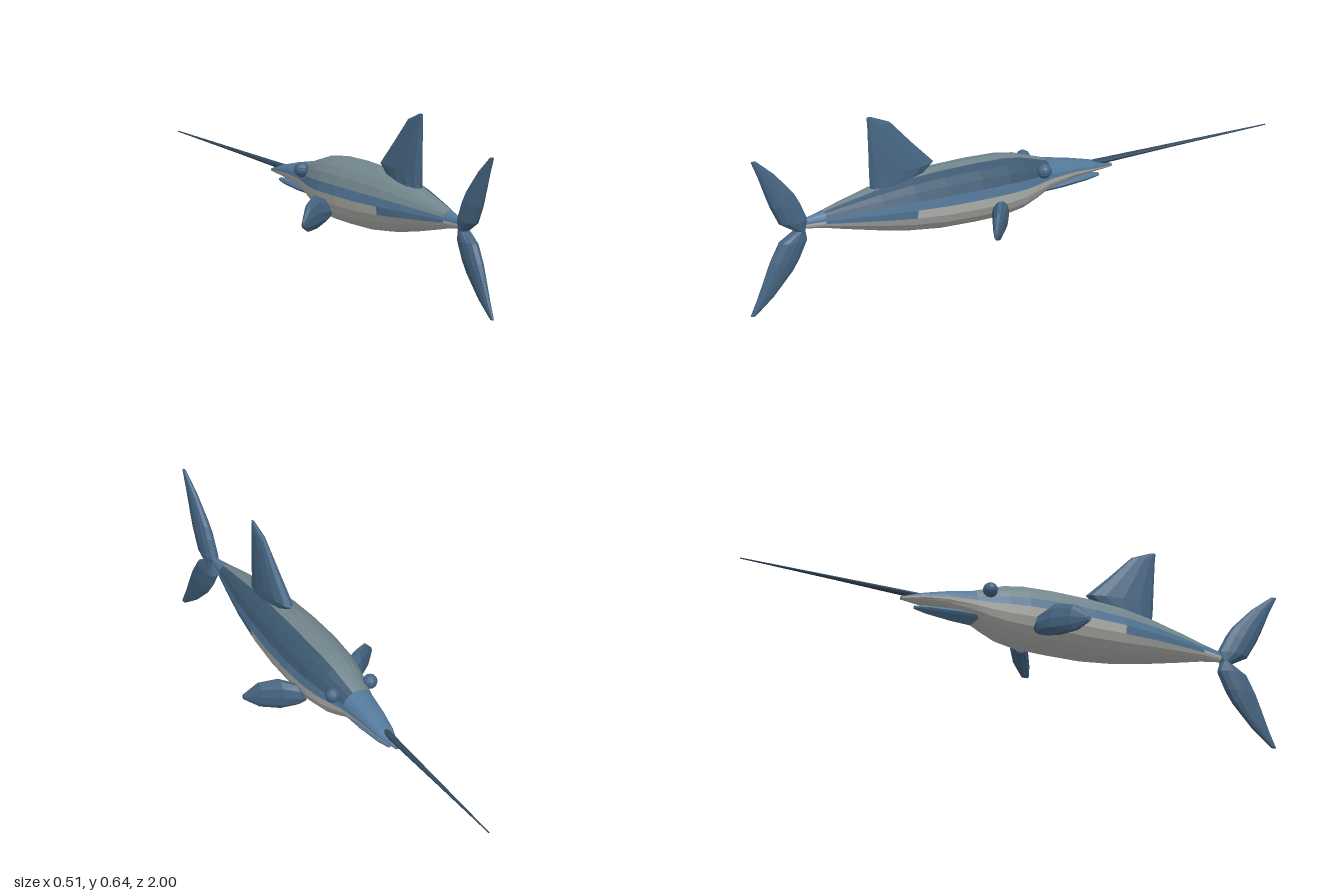
import * as THREE from 'three';

const paint = (name, color) => {
  const m = new THREE.MeshStandardMaterial({ color, flatShading: true });
  m.name = name;
  return m;
};

// Ellipse ring: centre c, with semi-axes along vectors u and v
function ring(c, u, v, sides) {
  return Array.from({ length: sides }, (_, j) => {
    const a = (j / sides) * Math.PI * 2;
    return c.map((k, i) => k + u[i] * Math.cos(a) + v[i] * Math.sin(a));
  });
}

// Skin over rings with closed ends; pick(row, column) gives the material index of a quad
function loft(rings, pick = () => 0) {
  const n = rings[0].length, buckets = [];
  const add = (k, ...pts) => (buckets[k] ??= []).push(pts);
  for (let i = 0; i < rings.length - 1; i++) {
    for (let j = 0; j < n; j++) {
      const a = rings[i][j], b = rings[i][(j + 1) % n];
      const c = rings[i + 1][(j + 1) % n], d = rings[i + 1][j];
      const k = pick(i, j);
      add(k, a, b, c);
      add(k, a, c, d);
    }
  }
  const first = rings[0], last = rings[rings.length - 1];
  for (let j = 1; j < n - 1; j++) {
    add(0, first[0], first[j + 1], first[j]);
    add(0, last[0], last[j], last[j + 1]);
  }
  // Turn the faces outward if the enclosed volume is negative
  let volume = 0;
  const [A, B, C] = [0, 0, 0].map(() => new THREE.Vector3());
  buckets.flat().forEach(([a, b, c]) => {
    volume += A.fromArray(a).dot(B.fromArray(b).cross(C.fromArray(c)));
  });
  const pos = [], geo = new THREE.BufferGeometry();
  buckets.forEach((tris, k) => {
    geo.addGroup(pos.length / 3, tris.length * 3, k);
    tris.forEach(([a, b, c]) => pos.push(...a, ...(volume < 0 ? c : b), ...(volume < 0 ? b : c)));
  });
  geo.setAttribute('position', new THREE.Float32BufferAttribute(pos, 3));
  geo.computeVertexNormals();
  return geo;
}

export function createModel() {
  const model = new THREE.Group();
  model.name = 'billfish';
  const blue = paint('mid blue', 0x54789a);
  const deep = paint('deep blue', 0x3d5870);
  const fin = paint('fin blue', 0x466582);
  const slate = paint('slate grey', 0x72868c);
  const pale = paint('belly grey', 0xb6b8b3);
  const dark = paint('bill navy', 0x33495c);

  const add = (name, geo, mat) => {
    const mesh = new THREE.Mesh(geo, mat);
    mesh.name = name;
    model.add(mesh);
    return mesh;
  };
  const alongZ = (list, sides) => list.map(([z, y, rx, ry]) => ring([0, y, z], [rx, 0, 0], [0, ry, 0], sides));

  // Body: z, centre height, half width, half height
  const body = [
    [0.8, 0.302, 0.01, 0.016], [0.72, 0.306, 0.027, 0.031], [0.65, 0.307, 0.045, 0.048],
    [0.52, 0.308, 0.075, 0.077], [0.4, 0.307, 0.094, 0.098], [0.28, 0.305, 0.104, 0.109],
    [0.15, 0.305, 0.108, 0.111], [0.04, 0.304, 0.102, 0.109], [-0.03, 0.304, 0.09, 0.098],
    [-0.09, 0.306, 0.073, 0.076], [-0.14, 0.31, 0.06, 0.055], [-0.24, 0.311, 0.046, 0.033],
    [-0.32, 0.304, 0.033, 0.02], [-0.4, 0.293, 0.008, 0.006],
  ];
  const sides = 20;
  const bodyColour = (i, j) => {
    const z = (body[i][0] + body[i + 1][0]) / 2;
    const a = ((j + 0.5) * 360) / sides;
    if (z < -0.17 || z > 0.7) return a < 180 ? 0 : 3;
    if (a > 72 && a < 162) return 2;
    if (a > 18 && a < 72) return 1;
    if (a < 180) return 0;
    return z > 0.38 && (a < 198 || a > 342) ? 0 : 3;
  };
  add('body', loft(alongZ(body, sides), bodyColour), [blue, deep, slate, pale]);

  // Lower jaw and long bill
  add('lowerJaw', loft(alongZ([
    [-0.09, 0.265, 0.042, 0.015], [-0.2, 0.267, 0.036, 0.016],
    [-0.3, 0.268, 0.022, 0.012], [-0.35, 0.268, 0.008, 0.006],
  ], 10)), blue);
  add('bill', loft(alongZ([[-0.31, 0.312, 0.014, 0.011], [-0.65, 0.319, 0.008, 0.006], [-1, 0.325, 0.002, 0.002]], 8)), dark);

  // Upright fins: height, front z, rear z, half thickness
  const upright = (list) => loft(list.map(([y, z0, z1, t]) =>
    ring([0, y, (z0 + z1) / 2], [t, 0, 0], [0, 0, (z1 - z0) / 2], 12)));
  add('dorsalFin', upright([
    [0.37, 0.37, 0.535, 0.032], [0.435, 0.29, 0.54, 0.032], [0.52, 0.375, 0.543, 0.023],
    [0.61, 0.46, 0.547, 0.012], [0.64, 0.53, 0.55, 0.005],
  ]), fin);
  const lobe = [
    [0, 0.79, 0.83, 0.02], [0.035, 0.78, 0.89, 0.026], [0.1, 0.81, 0.925, 0.025],
    [0.14, 0.835, 0.942, 0.021], [0.22, 0.908, 0.973, 0.013], [0.28, 0.98, 1, 0.005],
  ];
  for (const s of [1, -1]) {
    add(s > 0 ? 'upperTailLobe' : 'lowerTailLobe',
      upright(lobe.map(([h, ...rest]) => [0.283 + s * h, ...rest])), fin);
  }

  // Paired side fins (x, low y, high y, z, half thickness) and eyes
  const pectoral = [
    [0.08, 0.215, 0.255, 0.08, 0.022], [0.105, 0.203, 0.286, 0.088, 0.034],
    [0.155, 0.189, 0.307, 0.115, 0.032], [0.212, 0.19, 0.288, 0.155, 0.022],
    [0.253, 0.214, 0.234, 0.188, 0.006],
  ];
  for (const s of [1, -1]) {
    const side = s > 0 ? 'left' : 'right';
    add(side + 'PectoralFin', loft(pectoral.map(([x, y0, y1, z, t]) =>
      ring([s * x, (y0 + y1) / 2, z], [0, 0, t], [0, (y1 - y0) / 2, 0], 10))), fin);
    add(side + 'Eye', new THREE.SphereGeometry(0.026, 12, 8), fin).position.set(s * 0.074, 0.35, -0.1);
  }
  return model;
}
